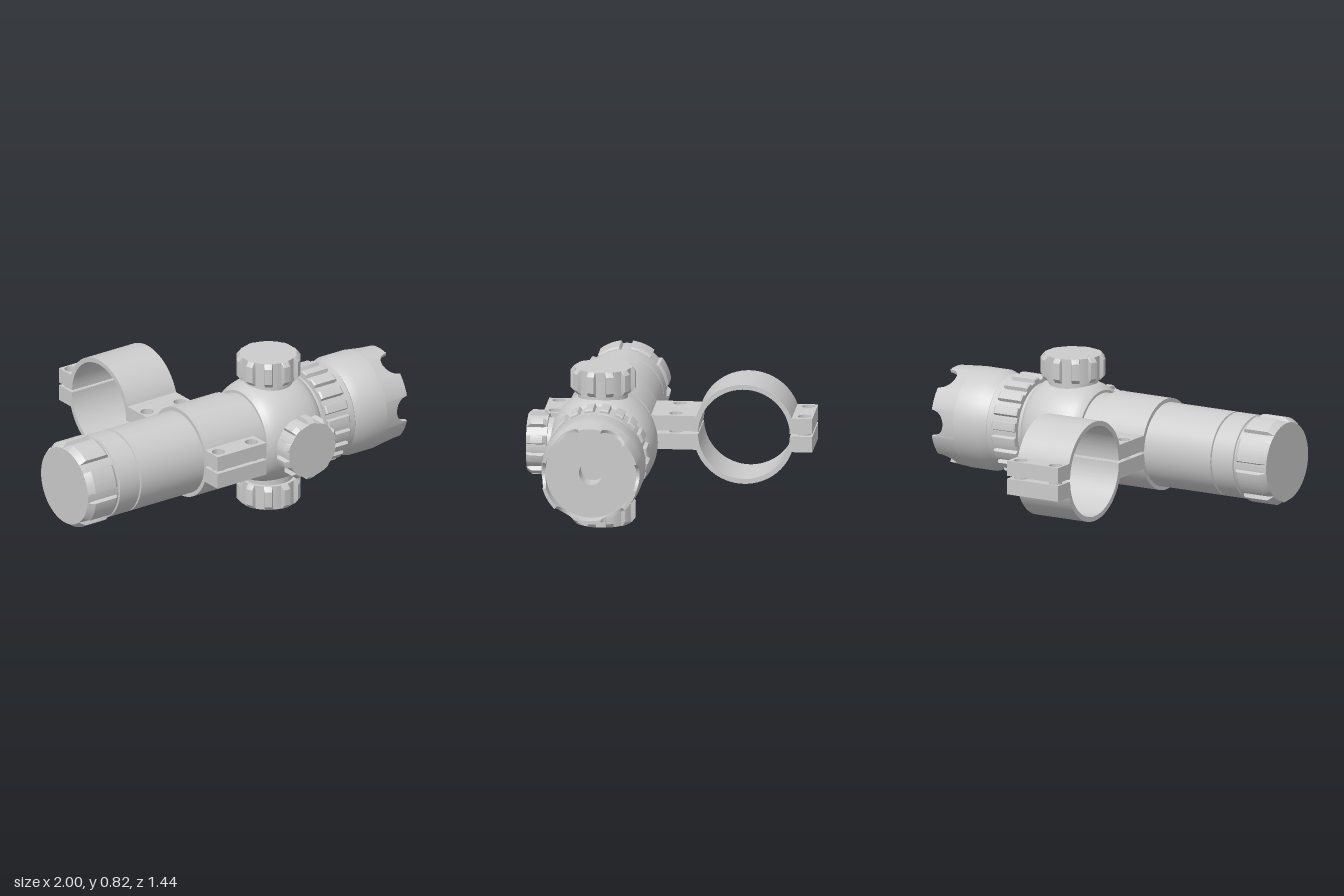
import * as THREE from 'three';
import { toCreasedNormals } from 'three/addons/utils/BufferGeometryUtils.js';

const AXIS_Y = 0.41, LIGHT_Z = 0.335, RING_Z = -0.367;
const CLAMP_X = -0.27, CLAMP_W = 0.31;
const material = new THREE.MeshStandardMaterial({ color: 0xcccccc, side: THREE.DoubleSide });

function add(parent, name, geometry) {
  const mesh = new THREE.Mesh(toCreasedNormals(geometry, 0.5), material);
  mesh.name = name;
  parent.add(mesh);
  return mesh;
}

// Turned part: profile of [radius, height], with an optional rule moving each (radius, height, angle)
function turned(profile, segments = 96, rule = null) {
  const geo = new THREE.LatheGeometry(profile.map(p => new THREE.Vector2(p[0], p[1])), segments);
  if (rule) {
    const pos = geo.attributes.position;
    for (let i = 0; i < pos.count; i++) {
      const a = Math.atan2(pos.getX(i), pos.getZ(i));
      const [r, h] = rule(Math.hypot(pos.getX(i), pos.getZ(i)), pos.getY(i), a);
      pos.setXYZ(i, r * Math.sin(a), h, r * Math.cos(a));
    }
  }
  return geo;
}

// Signed angle to the nearest of n evenly spaced grooves
function toGroove(a, n, phase = 0) {
  const step = 2 * Math.PI / n;
  return a - phase - Math.round((a - phase) / step) * step;
}

// Rule cutting n grooves down to a floor radius
const flutes = (n, halfAngle, floor, phase = 0) => (r, h, a) =>
  [Math.abs(toGroove(a, n, phase)) < halfAngle ? Math.min(r, floor) : r, h];

// Fluted adjustment knob on a round stem, standing along +y from the light's axis
function knob(name, start, end) {
  const g = new THREE.Group();
  g.name = name;
  add(g, 'knobStem', turned([[0, 0.15], [0.128, 0.15], [0.128, start + 0.01]], 64));
  add(g, 'knobGrip', turned([[0, start], [0.148, start], [0.168, start + 0.022],
    [0.168, end - 0.022], [0.15, end], [0, end]], 160,
  flutes(10, 0.19, 0.146, Math.PI / 2)));
  return g;
}

// Half of a clamp ring, extruded along x
function halfRing(inner, outer, z, sign) {
  const s = new THREE.Shape();
  const a = 0.03;
  s.absarc(0, 0, outer, a, Math.PI - a, false);
  s.absarc(0, 0, inner, Math.PI - a, a, true);
  const geo = new THREE.ExtrudeGeometry(s, { depth: CLAMP_W, bevelEnabled: false, curveSegments: 48 });
  geo.rotateY(Math.PI / 2);
  if (sign < 0) geo.rotateX(Math.PI);
  return geo.translate(CLAMP_X, AXIS_Y, z);
}

// Flat clamp plate with two bolt holes
function plate(z0, z1, holeZ, y0, y1) {
  const s = new THREE.Shape();
  const x1 = CLAMP_X + CLAMP_W;
  s.moveTo(CLAMP_X, -z1).lineTo(x1, -z1).lineTo(x1, -z0).lineTo(CLAMP_X, -z0).closePath();
  for (const x of [-0.225, -0.015]) {
    const hole = new THREE.Path();
    hole.absarc(x, -holeZ, 0.034, 0, Math.PI * 2, true);
    s.holes.push(hole);
  }
  const geo = new THREE.ExtrudeGeometry(s, { depth: y1 - y0, bevelEnabled: false, curveSegments: 24 });
  return geo.rotateX(-Math.PI / 2).translate(0, y0, 0);
}

export function createModel() {
  const model = new THREE.Group();
  model.name = 'opticWithMount';

  // Barrel parts are turned along y, then laid along +x
  const barrel = new THREE.Group();
  barrel.name = 'barrel';
  barrel.position.set(0, AXIS_Y, LIGHT_Z);
  barrel.rotation.z = -Math.PI / 2;
  model.add(barrel);

  add(barrel, 'tailCap', turned([[0, -1], [0.205, -1], [0.228, -0.965],
    [0.228, -0.835], [0.218, -0.82], [0, -0.82]], 192, flutes(8, 0.13, 0.208)));

  add(barrel, 'mainTube', turned([[0.208, -0.83], [0.208, -0.808], [0.218, -0.805], [0.218, -0.682],
    [0.208, -0.68], [0.208, -0.672], [0.218, -0.67], [0.218, 0.13]]));

  // Bulged housing that carries the knobs
  const bulge = [[0.215, 0.12]];
  for (let i = 0; i <= 16; i++) {
    const t = -1 + i / 8;
    bulge.push([0.232 + 0.048 * Math.sqrt(1 - 0.97 * t * t) - 0.008 * t * t, 0.295 + 0.175 * t]);
  }
  bulge.push([0.225, 0.475], [0.225, 0.5]);
  add(barrel, 'knobHousing', turned(bulge));

  add(barrel, 'zoomRing', turned([[0.2, 0.49], [0.258, 0.49], [0.264, 0.498], [0.264, 0.622],
    [0.258, 0.63], [0.2, 0.63]], 240, flutes(20, 0.07, 0.244)));

  add(barrel, 'headNeck', turned([[0.248, 0.62], [0.25, 0.665], [0.242, 0.672], [0.245, 0.68],
    [0.263, 0.722], [0.263, 0.86]]));

  // Bezel with six round scallops and a recessed face
  add(barrel, 'scallopedBezel', turned([[0.263, 0.86], [0.252, 1], [0.235, 1], [0.235, 0.92],
    [0.062, 0.92], [0.062, 0.82], [0, 0.82]], 288, (r, h, a) => {
    const d = 0.25 * toGroove(a, 6);
    const cut = Math.abs(d) < 0.07 ? 1 - Math.sqrt(0.0049 - d * d) : 1;
    return [r, Math.min(h, cut)];
  }));

  // Three adjustment knobs: top, bottom, front
  const knobs = [['topKnob', 0, 0.28, 0.41], ['bottomKnob', Math.PI, 0.28, 0.41],
    ['frontKnob', Math.PI / 2, 0.278, 0.385]];
  for (const [name, turn, start, end] of knobs) {
    const k = knob(name, start, end);
    k.position.set(0.295, AXIS_Y, LIGHT_Z);
    k.rotation.x = turn;
    model.add(k);
  }

  // Two-piece clamp: ring around the barrel, empty ring behind it
  const mount = new THREE.Group();
  mount.name = 'clampMount';
  model.add(mount);
  for (const [label, sign, y0, y1] of [['upper', 1, 0.42, 0.5], ['lower', -1, 0.322, 0.405]]) {
    add(mount, label + 'BarrelRing', halfRing(0.217, 0.239, LIGHT_Z, sign));
    add(mount, label + 'OpenRing', halfRing(0.237, 0.262, RING_Z, sign));
    add(mount, label + 'FrontFlange', plate(0.555, 0.67, 0.615, y0, y1));
    add(mount, label + 'MiddlePlate', plate(-0.128, 0.115, -0.01, y0, y1));
    add(mount, label + 'RearFlange', plate(-0.72, -0.606, -0.675, y0, y1));
  }

  // Sunken clamp bolts in the outer flanges
  for (const z of [0.615, -0.675]) {
    for (const x of [-0.225, -0.015]) {
      const bolt = new THREE.CylinderGeometry(0.034, 0.034, 0.1, 24);
      add(mount, 'clampBolt', bolt.translate(x, AXIS_Y, z));
    }
  }
  return model;
}
